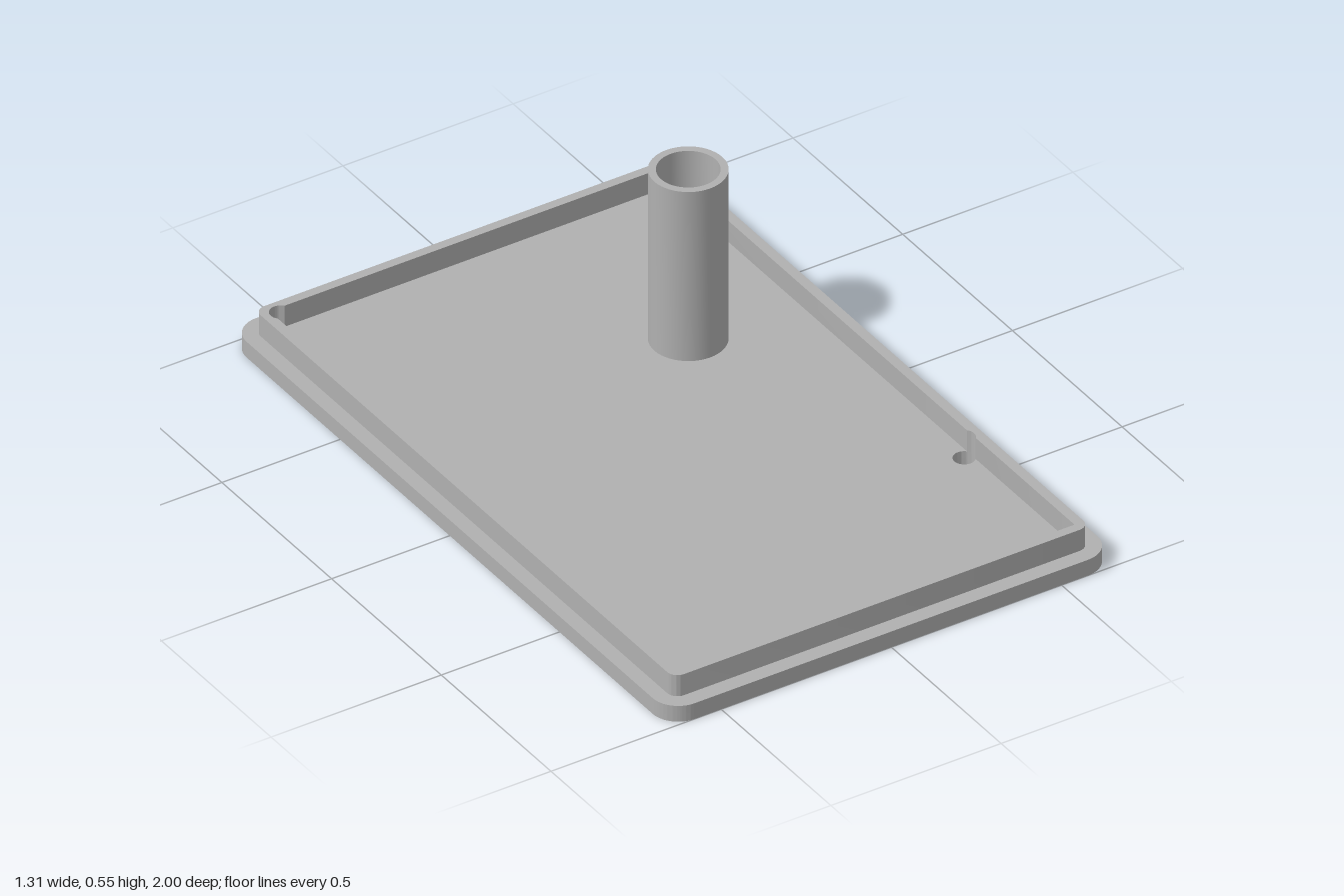
import * as THREE from 'three';
import { toCreasedNormals } from 'three/addons/utils/BufferGeometryUtils.js';

const PLATE_TOP = 0.047, RIM_TOP = 0.11, TUBE_TOP = 0.553, RECESS = 0.03;
const TUBE = { x: 0.272, z: -0.348, inner: 0.08, outer: 0.1, recess: 0.125 };
const SCREW = { x: 0.562, back: -0.912, front: 0.46, r: 0.029 };

// Rounded rectangle; shape y becomes -z in the model
function roundedRect(hw, hh, r) {
  const s = new THREE.Shape();
  s.absarc(hw - r, -hh + r, r, -Math.PI / 2, 0);
  s.absarc(hw - r, hh - r, r, 0, Math.PI / 2);
  s.absarc(-hw + r, hh - r, r, Math.PI / 2, Math.PI);
  s.absarc(-hw + r, -hh + r, r, Math.PI, Math.PI * 1.5);
  s.closePath();
  return s;
}

function circle(x, z, r, Type = THREE.Path) {
  return new Type().absarc(x, -z, r, 0, Math.PI * 2);
}

export function createModel() {
  const group = new THREE.Group();
  const grey = new THREE.MeshStandardMaterial({ color: 0xb0b0b0 });
  grey.name = 'grey plastic';

  // Upright extrusion of a plan shape between two heights
  function slab(name, shape, y0, y1) {
    const geo = new THREE.ExtrudeGeometry(shape, { depth: y1 - y0, bevelEnabled: false, curveSegments: 24 });
    geo.rotateX(-Math.PI / 2).translate(0, y0, 0);
    const mesh = new THREE.Mesh(toCreasedNormals(geo, 0.6), grey);
    mesh.name = name;
    group.add(mesh);
  }

  // Base plate with four screw holes and the recess under the tube
  const plate = roundedRect(0.653, 1, 0.075);
  for (const side of [-1, 1]) {
    for (const z of [SCREW.back, SCREW.front]) plate.holes.push(circle(side * SCREW.x, z, SCREW.r));
  }
  plate.holes.push(circle(TUBE.x, TUBE.z, TUBE.recess));
  slab('basePlate', plate, 0, PLATE_TOP);

  // Raised rim, its inner wall grooved by the screw holes
  const ix = 0.583, iz = 0.93;
  const a = Math.acos((ix - SCREW.x) / SCREW.r);
  const b = Math.asin((iz + SCREW.back) / SCREW.r);
  const inner = new THREE.Path();
  inner.moveTo(-ix, -iz);
  inner.lineTo(ix, -iz);
  inner.absarc(SCREW.x, -SCREW.front, SCREW.r, -a, a);
  inner.absarc(SCREW.x, -SCREW.back, SCREW.r, -a, Math.PI - b);
  inner.absarc(-SCREW.x, -SCREW.back, SCREW.r, b, Math.PI + a);
  inner.absarc(-SCREW.x, -SCREW.front, SCREW.r, Math.PI - a, Math.PI + a);
  inner.closePath();
  const rim = roundedRect(0.611, 0.956, 0.03);
  rim.holes.push(inner);
  slab('rim', rim, PLATE_TOP, RIM_TOP);

  // Hollow tube, open through the plate
  const tube = circle(TUBE.x, TUBE.z, TUBE.outer, THREE.Shape);
  tube.holes.push(circle(TUBE.x, TUBE.z, TUBE.inner));
  slab('tube', tube, RECESS, TUBE_TOP);

  // Thin floor ring above the recess, joining tube and plate
  const flange = circle(TUBE.x, TUBE.z, TUBE.recess, THREE.Shape);
  flange.holes.push(circle(TUBE.x, TUBE.z, TUBE.outer));
  slab('tubeFlange', flange, RECESS, PLATE_TOP);

  return group;
}
